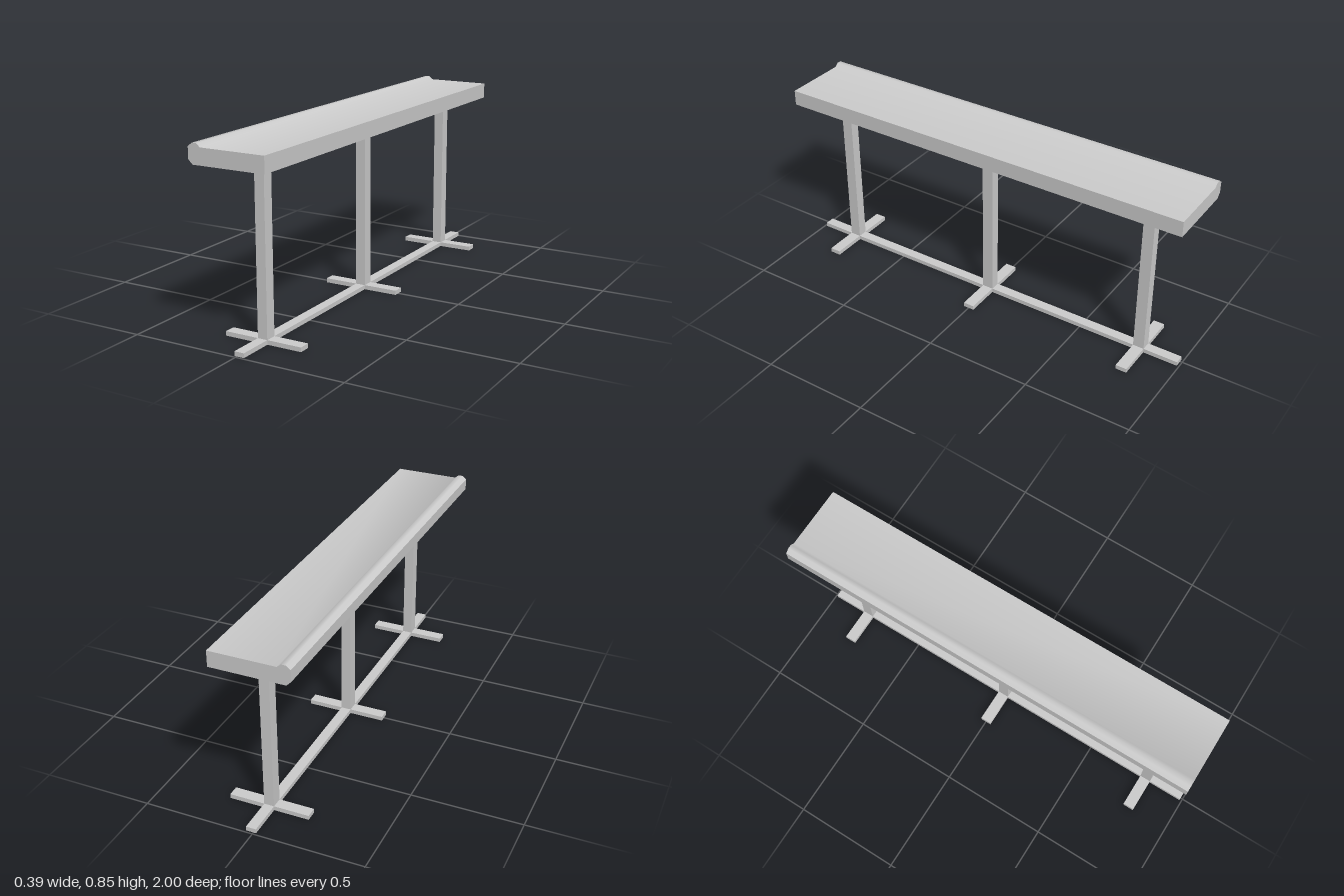
import * as THREE from 'three';
import { toCreasedNormals } from 'three/addons/utils/BufferGeometryUtils.js';

export function createModel() {
  const group = new THREE.Group();
  const material = new THREE.MeshStandardMaterial({ color: 0xcccccc });

  // Box given by its minimum and maximum corners
  function box(name, [x0, y0, z0], [x1, y1, z1], parent) {
    const mesh = new THREE.Mesh(new THREE.BoxGeometry(x1 - x0, y1 - y0, z1 - z0), material);
    mesh.position.set((x0 + x1) / 2, (y0 + y1) / 2, (z0 + z1) / 2);
    mesh.name = name;
    parent.add(mesh);
  }

  // Counter top with a raised, chamfered lip along one long edge
  const profile = new THREE.Shape([
    [-0.198, 0.78], [-0.178, 0.76], [0.158, 0.76], [0.158, 0.832],
    [-0.14, 0.832], [-0.157, 0.847], [-0.178, 0.847], [-0.198, 0.832],
  ].map(([x, y]) => new THREE.Vector2(x, y)));
  const slab = new THREE.ExtrudeGeometry(profile, { depth: 2, bevelEnabled: false });
  slab.translate(0, 0, -1);
  const top = new THREE.Mesh(toCreasedNormals(slab, 0.74), material);
  top.name = 'counterTop';
  group.add(top);

  // Three posts, each on a cross foot
  for (const z of [-0.8, 0, 0.8]) {
    const leg = new THREE.Group();
    leg.name = 'leg';
    leg.position.z = z;
    box('post', [-0.012, 0.02, -0.026], [0.034, 0.761, 0.026], leg);
    box('footLeft', [0.034, 0, -0.026], [0.196, 0.02, 0.026], leg);
    box('footRight', [-0.172, 0, -0.026], [-0.012, 0.02, 0.026], leg);
    group.add(leg);
  }

  // Floor rail joining the feet
  box('floorRail', [-0.012, 0, -0.99], [0.034, 0.02, 0.99], group);
  return group;
}
